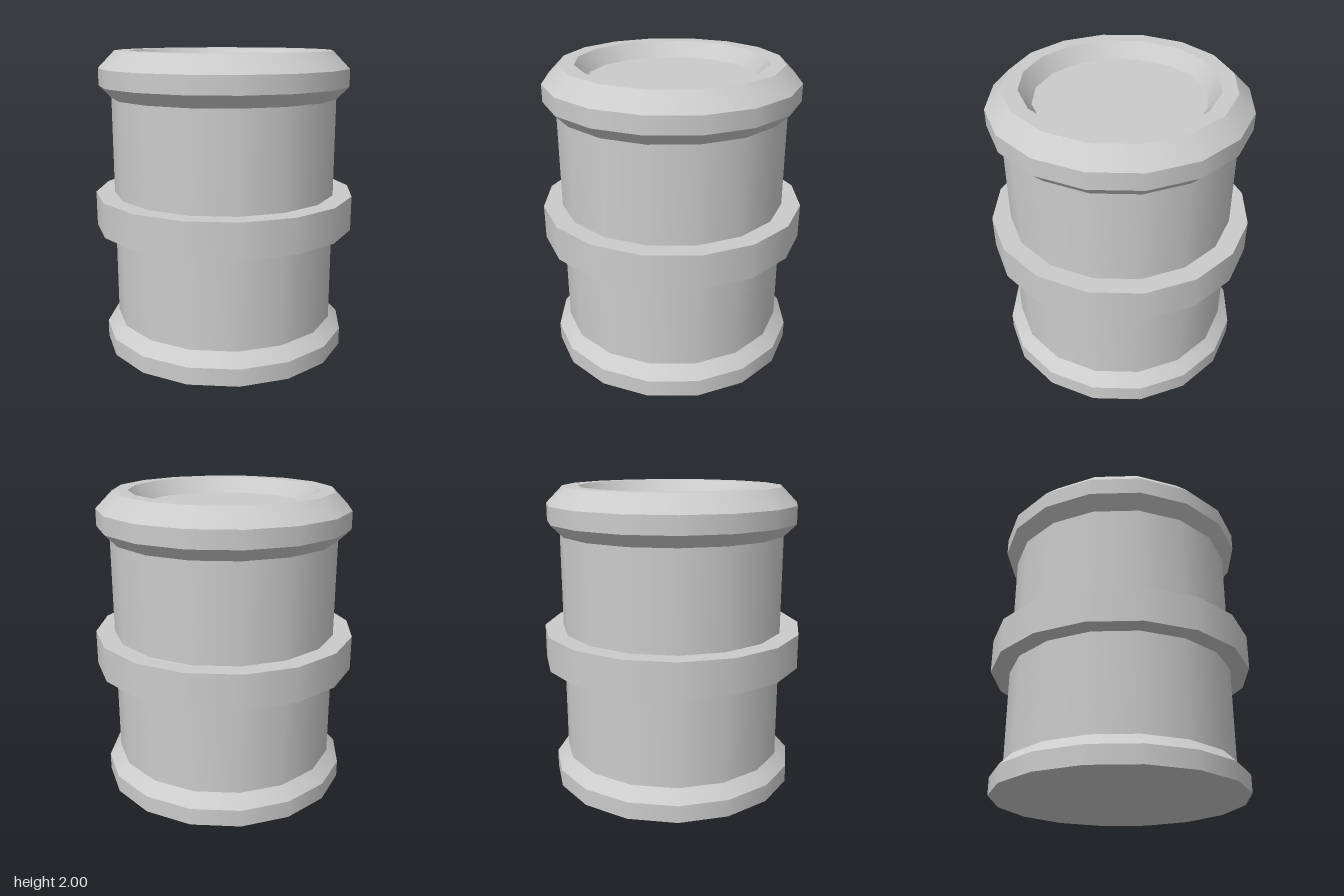
import * as THREE from 'three';
import { mergeGeometries } from 'three/addons/utils/BufferGeometryUtils.js';

const SIDES = 16;
const material = new THREE.MeshStandardMaterial({ color: 0xcccccc });

// One lathe band per profile step: smooth around the barrel, sharp between bands
function turned(name, profile) {
  const bands = [];
  for (let i = 0; i < profile.length - 1; i++) {
    const pair = [profile[i], profile[i + 1]].map(([r, y]) => new THREE.Vector2(r, y));
    bands.push(new THREE.LatheGeometry(pair, SIDES));
  }
  const mesh = new THREE.Mesh(mergeGeometries(bands), material);
  mesh.name = name;
  return mesh;
}

// Flat disc facing up (dir = 1) or down (dir = -1)
function disc(name, radius, y, dir) {
  const geometry = new THREE.CircleGeometry(radius, SIDES);
  geometry.rotateX(-dir * Math.PI / 2);
  const mesh = new THREE.Mesh(geometry, material);
  mesh.name = name;
  mesh.position.y = y;
  return mesh;
}

export function createModel() {
  const barrel = new THREE.Group();
  barrel.name = 'barrel';

  // Foot: straight lip with a bevel up to the wall
  barrel.add(disc('bottom', 0.83, 0, -1));
  barrel.add(turned('foot', [[0.83, 0], [0.83, 0.115], [0.75, 0.195]]));

  // Wall, with the wide band around the middle
  barrel.add(turned('wall', [[0.75, 0.195], [0.75, 1.695]]));
  barrel.add(turned('middleBand', [[0.75, 0.83], [0.875, 0.83], [0.875, 1.06], [0.75, 1.06]]));

  // Flared rim, bevelled on top and sloping inside down to the recessed lid
  barrel.add(turned('rim', [
    [0.75, 1.695], [0.83, 1.775], [0.83, 1.888], [0.72, 2], [0.62, 2], [0.545, 1.9],
  ]));
  barrel.add(disc('lid', 0.545, 1.9, 1));

  return barrel;
}
